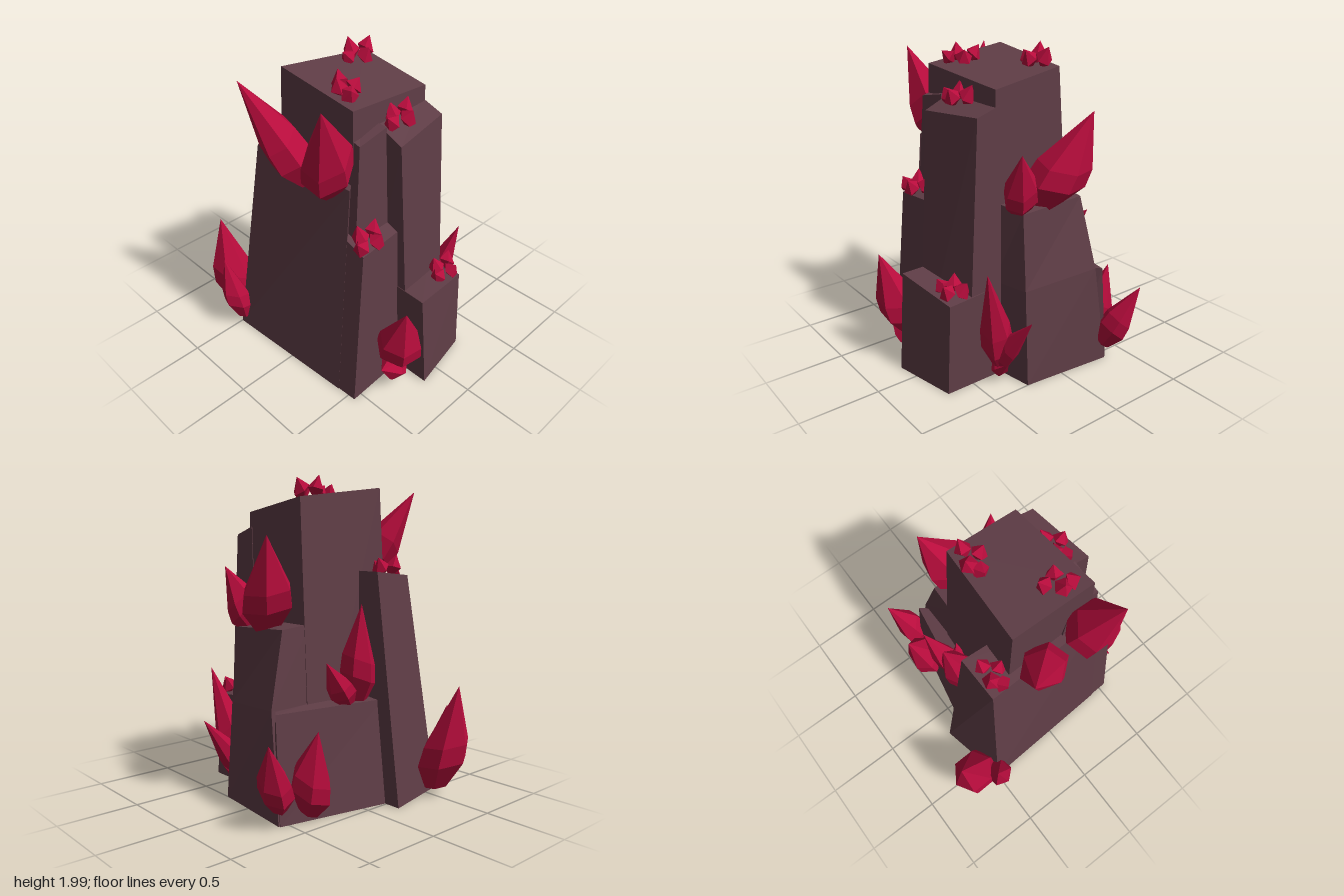
import * as THREE from 'three';

const rockMat = new THREE.MeshStandardMaterial({ color: 0x5f3d46, flatShading: true });
const crystalMat = new THREE.MeshStandardMaterial({ color: 0xb80c3c, flatShading: true });

// Rock pillar through four-cornered rings, bottom to top; corner order: front -x, front +x, back +x, back -x
function pillar(name, ...rings) {
  const pos = [];
  const tri = (a, b, c) => pos.push(...a, ...b, ...c);
  const top = rings[rings.length - 1], low = rings[0];
  for (let r = 0; r < rings.length - 1; r++) {
    const a = rings[r], b = rings[r + 1];
    for (let i = 0; i < 4; i++) {
      const j = (i + 1) % 4;
      tri(a[i], a[j], b[j]);
      tri(a[i], b[j], b[i]);
    }
  }
  tri(top[0], top[1], top[2]); tri(top[0], top[2], top[3]);
  tri(low[0], low[2], low[1]); tri(low[0], low[3], low[2]);
  const geo = new THREE.BufferGeometry();
  geo.setAttribute('position', new THREE.Float32BufferAttribute(pos, 3));
  geo.computeVertexNormals();
  const mesh = new THREE.Mesh(geo, rockMat);
  mesh.name = name;
  return mesh;
}

// Faceted shard profiles; the belly is tilted by skewing heights sideways
function shardGeometry(profile, sides, skew) {
  const geo = new THREE.LatheGeometry(profile.map(p => new THREE.Vector2(...p)), sides);
  const p = geo.attributes.position;
  for (let i = 0; i < p.count; i++) p.setY(i, p.getY(i) + skew * p.getX(i));
  return geo;
}
const largeGeo = shardGeometry([[0, 0], [0.5, 0.04], [1.05, 0.28], [0.97, 0.46], [0, 1]], 6, 0.08);
const smallGeo = shardGeometry([[0, 0], [1, 0.42], [0, 1]], 5, 0.1);
const UP = new THREE.Vector3(0, 1, 0);

function shard(name, geo, root, tip, radius, turn) {
  const a = new THREE.Vector3(...root), dir = new THREE.Vector3(...tip).sub(a);
  const mesh = new THREE.Mesh(geo, crystalMat);
  mesh.name = name;
  mesh.position.copy(a);
  mesh.scale.set(radius, dir.length(), radius * 0.95);
  mesh.quaternion.setFromUnitVectors(UP, dir.normalize())
    .multiply(new THREE.Quaternion().setFromAxisAngle(UP, turn));
  return mesh;
}

// Four tiny shards fanning out of a ledge
function cluster(x, y, z, angle, height) {
  const group = new THREE.Group();
  group.name = 'smallCrystalCluster';
  const spikes = [[-0.045, 0.01, -0.12, 0.02, 0.5], [-0.025, -0.015, -0.04, -0.05, 1],
    [0.01, 0.025, 0.02, 0.08, 0.65], [0.04, -0.01, 0.1, -0.03, 0.85]];
  spikes.forEach(([rx, rz, tx, tz, h], i) =>
    group.add(shard('smallCrystal', smallGeo, [rx, -0.03, rz], [tx, h * height, tz], 0.055, i)));
  group.position.set(x, y, z);
  group.rotation.y = angle;
  return group;
}

export function createModel() {
  const model = new THREE.Group();
  model.name = 'crystalRock';
  const g = 0.01;

  // Rock pillars
  model.add(
    pillar('mainPillar',
      [[-0.42, g, 0.4], [0.28, g, 0.36], [0.28, g, -0.3], [-0.42, g, -0.3]],
      [[-0.36, 1.86, 0.34], [0.26, 1.79, 0.3], [0.25, 1.87, -0.17], [-0.37, 1.94, -0.21]]),
    pillar('frontPillar',
      [[-0.14, g, 0.61], [0.28, g, 0.53], [0.28, g, 0.2], [-0.14, g, 0.2]],
      [[-0.155, 1.63, 0.5], [0.265, 1.65, 0.43], [0.265, 1.7, 0.28], [-0.16, 1.72, 0.3]]),
    pillar('frontStep',
      [[-0.14, g, 0.76], [0.28, g, 0.68], [0.28, g, 0.3], [-0.14, g, 0.3]],
      [[-0.15, 0.65, 0.71], [0.28, 0.58, 0.65], [0.28, 0.6, 0.4], [-0.15, 0.66, 0.4]]),
    pillar('rightShoulder',
      [[-0.5, g, 0.45], [-0.13, g, 0.45], [-0.13, g, -0.1], [-0.5, g, -0.1]],
      [[-0.36, 1.67, 0.39], [-0.155, 1.71, 0.39], [-0.155, 1.72, 0.2], [-0.36, 1.72, 0.2]]),
    pillar('rightStep',
      [[-0.56, g, 0.55], [-0.13, g, 0.53], [-0.13, g, 0.1], [-0.58, g, 0.1]],
      [[-0.45, 1.05, 0.51], [-0.15, 1.06, 0.49], [-0.15, 1.13, 0.3], [-0.45, 1.13, 0.3]]),
    pillar('backRightPillar',
      [[-0.57, g, 0.42], [-0.15, g, 0.3], [-0.16, g, -0.6], [-0.62, g, -0.5]],
      [[-0.425, 1.42, 0.38], [-0.2, 1.43, 0.2], [-0.16, 1.43, -0.4], [-0.44, 1.4, -0.39]]),
    pillar('leftPillar',
      [[0.2, g, 0.3], [0.5, g, 0.25], [0.56, g, -0.34], [0.2, g, -0.34]],
      [[0.22, 0.62, 0.295], [0.46, 0.62, 0.24], [0.535, 0.66, -0.25], [0.22, 0.65, -0.25]],
      [[0.22, 1.13, 0.29], [0.42, 1.09, 0.23], [0.42, 1.11, -0.21], [0.22, 1.13, -0.22]]),
    pillar('backStep',
      [[-0.2, g, -0.15], [0.45, g, -0.15], [0.555, g, -0.35], [-0.2, g, -0.5]],
      [[-0.2, 0.68, -0.15], [0.42, 0.66, -0.15], [0.545, 0.65, -0.3], [-0.2, 0.65, -0.42]]));

  // Large crystals: root, tip, radius
  const shards = [
    [[-0.41, 1.34, 0.21], [-0.59, 1.94, 0.35], 0.15],
    [[-0.41, 1.32, 0.03], [-0.63, 1.92, -0.27], 0.13],
    [[0.34, 1.07, 0.03], [0.52, 1.65, -0.2], 0.165],
    [[0.33, 1.07, 0.18], [0.47, 1.46, 0.28], 0.105],
    [[0.33, 0.1, 0.33], [0.44, 0.8, 0.5], 0.1],
    [[0.31, 0.1, 0.36], [0.62, 0.51, 0.32], 0.07],
    [[0.28, 0.06, 0.33], [0.45, 0.17, 0.36], 0.06],
    [[0.54, 0.1, -0.32], [0.72, 0.54, -0.46], 0.1],
    [[0.36, 0.04, -0.36], [0.4, 0.57, -0.5], 0.125],
    [[-0.07, 0.62, -0.32], [0, 1.25, -0.43], 0.11],
    [[0, 0.63, -0.33], [0.27, 0.93, -0.42], 0.085],
    [[0.04, 0.64, -0.3], [0.13, 0.82, -0.27], 0.05],
    [[-0.53, 0.04, -0.58], [-0.55, 0.73, -0.73], 0.145],
    [[-0.61, 0.06, -0.48], [-0.68, 0.56, -0.54], 0.09],
    [[-0.24, 0.17, 0.6], [-0.35, 0.72, 0.76], 0.145],
    [[-0.17, 0.08, 0.58], [-0.44, 0.26, 0.66], 0.09]];
  shards.forEach(([root, tip, r], i) =>
    model.add(shard('largeCrystal', largeGeo, root, tip, r, i * 0.7)));

  // Small clusters on the ledges: position, turn, height
  [[0.12, 1.89, -0.1, -0.2, 0.11], [-0.25, 1.89, 0.17, 0.9, 0.09], [-0.02, 1.7, 0.36, 0, 0.11],
    [-0.36, 1.09, 0.46, 0.1, 0.11], [0.2, 0.63, 0.58, 0.1, 0.09], [-0.33, 1.42, -0.31, 0, 0.11]]
    .forEach(c => model.add(cluster(...c)));

  return model;
}
